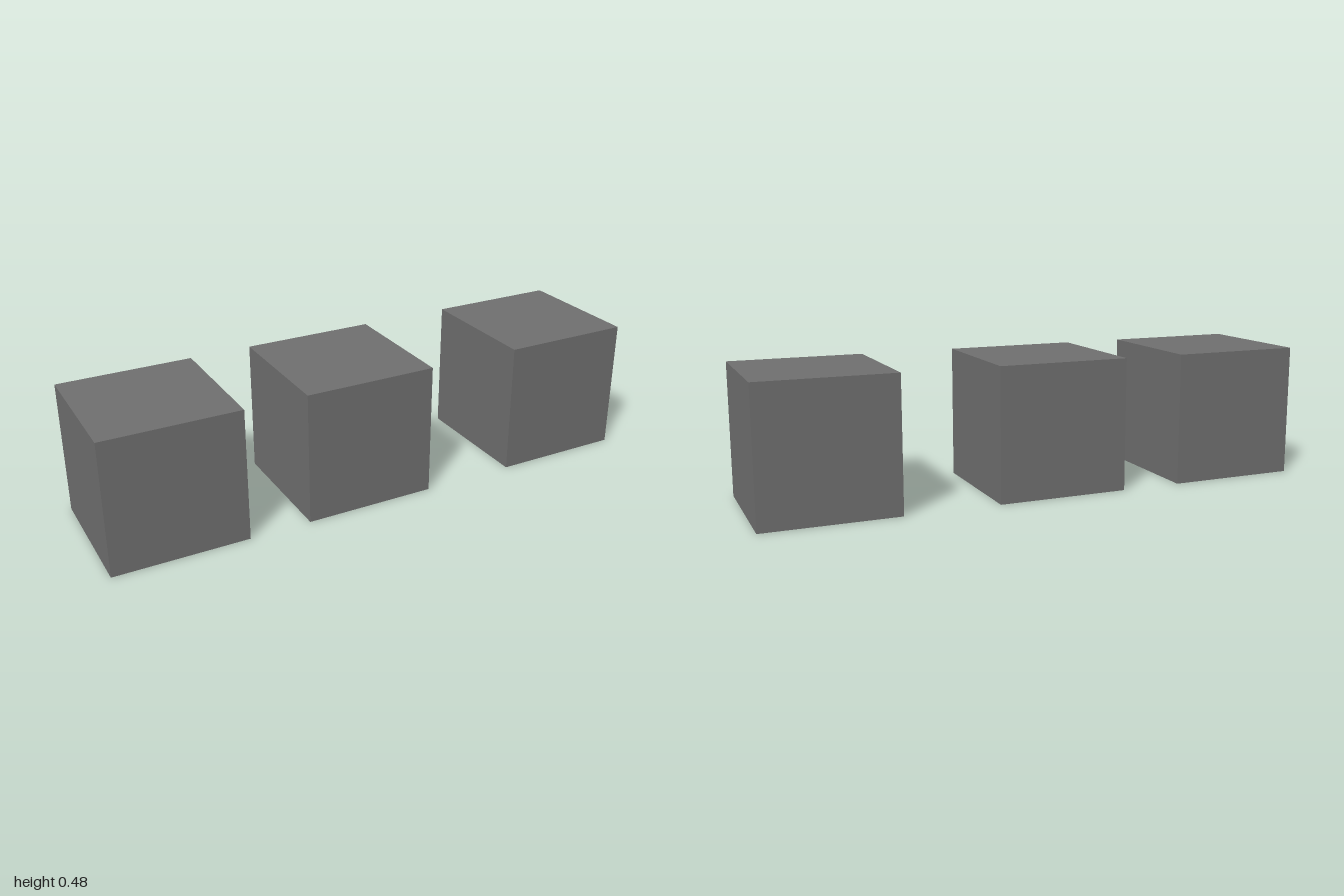
import * as THREE from 'three';

const SIZE = 0.478;

export function createModel() {
  const group = new THREE.Group();
  group.name = 'cubeRow';

  const material = new THREE.MeshStandardMaterial({ color: 0x6f6f6f, flatShading: true });
  const geometry = new THREE.BoxGeometry(SIZE, SIZE, SIZE);

  // Three equal dark cubes in a row, the middle one slightly off centre
  const cubes = [
    ['rightCube', -1 + SIZE / 2],
    ['middleCube', -0.061],
    ['leftCube', 1 - SIZE / 2],
  ];
  for (const [name, x] of cubes) {
    const cube = new THREE.Mesh(geometry, material);
    cube.name = name;
    cube.position.set(x, SIZE / 2, 0);
    group.add(cube);
  }

  return group;
}
